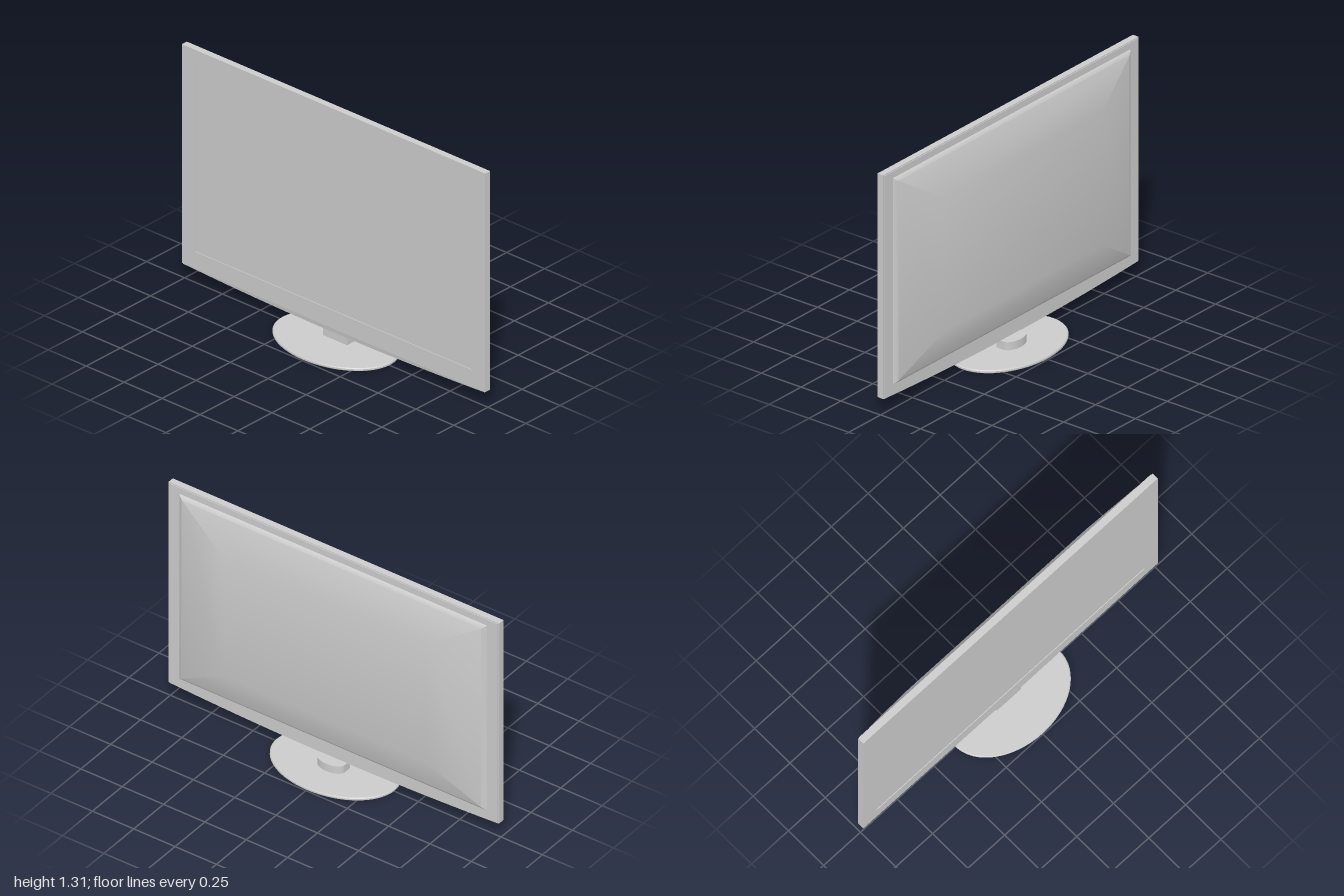
import * as THREE from 'three';
import { toCreasedNormals } from 'three/addons/utils/BufferGeometryUtils.js';

const material = new THREE.MeshStandardMaterial({ color: 0xcccccc });

function add(group, name, geometry) {
  const mesh = new THREE.Mesh(toCreasedNormals(geometry, 0.5), material);
  mesh.name = name;
  group.add(mesh);
}

// Extrude a shape so that it spans z0 to z1
function slab(shape, z0, z1) {
  const g = new THREE.ExtrudeGeometry(shape, { depth: z1 - z0, bevelEnabled: false, curveSegments: 24 });
  return g.translate(0, 0, z0);
}

function rectPath(hw, y0, y1, Type) {
  return new Type([[-hw, y0], [hw, y0], [hw, y1], [-hw, y1]].map(p => new THREE.Vector2(...p)));
}

// Panel outline with a bottom edge that sags towards the middle
function saggingShape(hw, top, edgeY, midY) {
  const s = new THREE.Shape();
  s.moveTo(-hw, edgeY);
  s.quadraticCurveTo(0, 2 * midY - edgeY, hw, edgeY);
  s.lineTo(hw, top);
  s.lineTo(-hw, top);
  s.closePath();
  return s;
}

// Rectangular rings [halfWidth, y0, y1, z] joined towards -z and closed at the last ring
function steppedCover(rings) {
  const corners = rings.map(([w, a, b, z]) => [[-w, a, z], [-w, b, z], [w, b, z], [w, a, z]]);
  const pos = [];
  const quad = (a, b, c, d) => pos.push(...a, ...b, ...c, ...a, ...c, ...d);
  for (let r = 0; r < corners.length - 1; r++) {
    for (let i = 0; i < 4; i++) {
      const j = (i + 1) % 4;
      quad(corners[r][i], corners[r][j], corners[r + 1][j], corners[r + 1][i]);
    }
  }
  quad(...corners[corners.length - 1]);
  const g = new THREE.BufferGeometry();
  g.setAttribute('position', new THREE.Float32BufferAttribute(pos, 3));
  g.computeVertexNormals();
  return g;
}

export function createModel() {
  const group = new THREE.Group();

  // Bezel with the recessed screen
  const bezel = saggingShape(1, 1.31, 0.092, 0.085);
  bezel.holes.push(rectPath(0.91, 0.185, 1.225, THREE.Path));
  add(group, 'bezel', slab(bezel, -0.016, 0.02));
  add(group, 'screen', slab(rectPath(0.915, 0.18, 1.23, THREE.Shape), -0.01, 0.016));

  // Rear plate and tapered housing
  add(group, 'backPlate', slab(rectPath(0.99, 0.102, 1.305, THREE.Shape), -0.02, -0.012));
  add(group, 'backCover', steppedCover([
    [0.93, 0.145, 1.27, -0.019],
    [0.925, 0.148, 1.265, -0.026],
    [0.905, 0.162, 1.25, -0.036],
    [0.62, 0.34, 1.07, -0.095],
  ]));

  // Curved chin, leaning back slightly along its lower edge
  const chin = slab(saggingShape(0.995, 0.095, 0.088, 0.06), -0.015, 0.019);
  const p = chin.attributes.position;
  for (let i = 0; i < p.count; i++) {
    if (p.getZ(i) > 0) p.setZ(i, 0.019 - 0.15 * (0.095 - p.getY(i)));
  }
  chin.computeVertexNormals();
  add(group, 'chin', chin);

  // Neck: flat at the front, rounded at the back
  const neck = new THREE.Shape();
  neck.moveTo(0.08, -0.01);
  neck.lineTo(0.08, 0.035);
  neck.absellipse(0, 0.035, 0.08, 0.045, 0, Math.PI, false);
  neck.lineTo(-0.08, -0.01);
  neck.closePath();
  add(group, 'neck', slab(neck, 0.012, 0.062).rotateX(-Math.PI / 2));

  // Oval foot
  const profile = [[0, 0], [0.98, 0], [1, 0.005], [1, 0.013], [0.985, 0.018], [0, 0.018]];
  const foot = new THREE.LatheGeometry(profile.map(q => new THREE.Vector2(...q)), 64);
  add(group, 'foot', foot.scale(0.357, 1, 0.248));

  return group;
}
